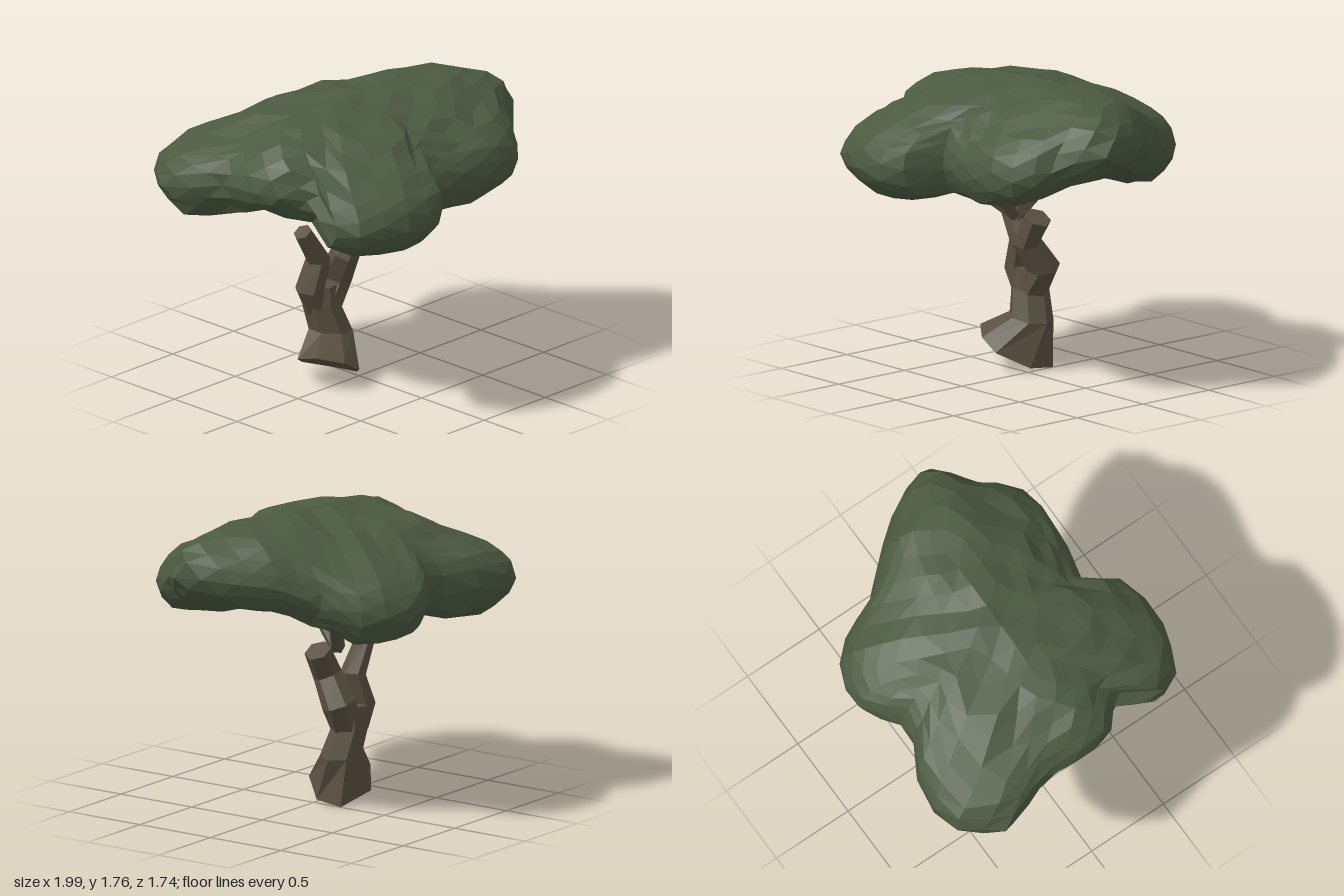
import * as THREE from 'three';

const leaf = new THREE.MeshStandardMaterial({ color: 0x4c5a42, flatShading: true });
leaf.name = 'leafGreen';
const bark = new THREE.MeshStandardMaterial({ color: 0x5a5142, flatShading: true });
bark.name = 'barkBrown';

// Skin a list of equally sized rings (lowest first) and cap both ends
function loft(name, rings) {
  const n = rings[0].length, out = [];
  const tri = (...pts) => pts.forEach((p) => out.push(p.x, p.y, p.z));
  const middle = (ring) => ring.reduce((s, p) => s.add(p), new THREE.Vector3()).divideScalar(n);
  const first = rings[0], last = rings[rings.length - 1];
  const c0 = middle(first), c1 = middle(last);
  for (let i = 0; i < n; i++) {
    const j = (i + 1) % n;
    for (let r = 0; r + 1 < rings.length; r++) {
      const a = rings[r], b = rings[r + 1];
      tri(a[i], b[i], a[j]);
      tri(a[j], b[i], b[j]);
    }
    tri(c0, first[i], first[j]);
    tri(c1, last[j], last[i]);
  }
  const g = new THREE.BufferGeometry();
  g.setAttribute('position', new THREE.Float32BufferAttribute(out, 3));
  g.computeVertexNormals();
  const mesh = new THREE.Mesh(g, bark);
  mesh.name = name;
  return mesh;
}

// Bent, tapering limb through [x, y, z, radius] stations
function limb(name, stations, sides) {
  const pts = stations.map((s) => new THREE.Vector3(s[0], s[1], s[2]));
  const rings = pts.map((p, k) => {
    const t = pts[Math.min(k + 1, pts.length - 1)].clone().sub(pts[Math.max(k - 1, 0)]).normalize();
    const u = new THREE.Vector3(1, 0, 0).addScaledVector(t, -t.x).normalize();
    const v = u.clone().cross(t);
    return Array.from({ length: sides }, (_, i) => {
      const a = (i / sides) * Math.PI * 2, r = stations[k][3];
      return p.clone().addScaledVector(u, r * Math.cos(a)).addScaledVector(v, r * Math.sin(a));
    });
  });
  return loft(name, rings);
}

// Flared, slanted foot rising into the trunk
function trunk() {
  const foot = [[0, 0.02, -0.02], [-0.13, 0.11, 0.13], [-0.25, 0.18, 0.13], [-0.38, 0.22, 0.03],
    [-0.37, 0.17, -0.13], [-0.2, 0.07, -0.26], [0, 0, -0.19]].map((p) => new THREE.Vector3(...p));
  const oval = (x, y, z, rx, rz, tilt) => foot.map((_, i) => {
    const a = (i / foot.length) * Math.PI * 2;
    return new THREE.Vector3(x + rx * Math.cos(a), y - tilt * Math.cos(a), z + rz * Math.sin(a));
  });
  return loft('trunk', [foot, oval(-0.11, 0.29, -0.12, 0.14, 0.12, 0.02),
    oval(-0.155, 0.45, -0.15, 0.118, 0.105, 0), oval(-0.15, 0.57, -0.15, 0.1, 0.09, 0)]);
}

// Canopy outline from above: [x, z, height of the widest point]
const outline = [
  [1, 0.18, 1.5], [0.99, 0.27, 1.49], [0.78, 0.45, 1.42], [0.72, 0.58, 1.36], [0.6, 0.68, 1.33],
  [0.28, 0.68, 1.3], [0, 0.62, 1.33], [-0.08, 0.63, 1.33], [-0.16, 0.83, 1.28], [-0.35, 0.88, 1.26],
  [-0.6, 0.84, 1.26], [-0.75, 0.78, 1.27], [-0.86, 0.6, 1.28], [-0.82, 0.48, 1.31], [-0.74, 0.4, 1.36],
  [-0.76, 0.32, 1.38], [-0.9, 0.2, 1.4], [-0.92, 0, 1.4], [-0.88, -0.25, 1.35], [-1, -0.6, 1.26],
  [-0.88, -0.8, 1.27], [-0.68, -0.88, 1.28], [-0.35, -0.8, 1.32], [-0.2, -0.68, 1.36], [0, -0.82, 1.31],
  [0.2, -0.88, 1.28], [0.4, -0.78, 1.28], [0.48, -0.7, 1.29], [0.55, -0.48, 1.36], [0.65, -0.35, 1.42],
  [0.8, -0.18, 1.47],
];
// Canopy section: [latitude, reach, height from the widest point, pull to the middle height]
const section = [
  [-1, 0, -0.2, 1], [-0.7, 0.4, -0.2, 0.5], [-0.45, 0.7, -0.2, 0], [-0.25, 0.88, -0.17, 0],
  [-0.1, 0.97, -0.08, 0], [0, 1, 0, 0], [0.12, 0.97, 0.1, 0], [0.25, 0.9, 0.17, 0],
  [0.4, 0.78, 0.22, 0.08], [0.65, 0.5, 0.25, 0.55], [1, 0, 0.25, 1],
];

// Linear lookup of a row in a table sorted by its first column
function lookup(table, t) {
  let i = 1;
  while (i < table.length - 1 && table[i][0] < t) i++;
  const a = table[i - 1], b = table[i];
  const f = THREE.MathUtils.clamp((t - a[0]) / (b[0] - a[0]), 0, 1);
  return a.map((v, k) => v + (b[k] - v) * f);
}

// Faceted ball reshaped to the lobed outline and section
function canopy() {
  const cx = -0.03, TAU = Math.PI * 2;
  const polar = outline.map(([x, z, y]) => [(Math.atan2(z, x - cx) + TAU) % TAU, Math.hypot(x - cx, z), y]);
  polar.sort((a, b) => a[0] - b[0]);
  const head = polar[0], tail = polar[polar.length - 1];
  const ring = [[tail[0] - TAU, tail[1], tail[2]], ...polar, [head[0] + TAU, head[1], head[2]]];
  const g = new THREE.IcosahedronGeometry(1, 6);
  const pos = g.attributes.position, v = new THREE.Vector3();
  for (let i = 0; i < pos.count; i++) {
    v.fromBufferAttribute(pos, i).normalize();
    // uneven facets
    const wob = Math.sin(13 * v.x + 5 * v.y) * Math.sin(11 * v.z - 7 * v.y + 1);
    const angle = (Math.atan2(v.z, v.x) + TAU) % TAU;
    const lat = Math.asin(THREE.MathUtils.clamp(v.y, -1, 1)) / (Math.PI / 2);
    const [, reach, edge] = lookup(ring, angle);
    const [, s, rise, pull] = lookup(section, lat);
    const r = reach * s * (1 + 0.05 * wob * (1 - s));
    const y = THREE.MathUtils.lerp(edge + rise, lat < 0 ? 1.2 : 1.75, pull) + 0.018 * wob;
    pos.setXYZ(i, cx + r * Math.cos(angle), y, r * Math.sin(angle));
  }
  g.deleteAttribute('uv');
  g.computeVertexNormals();
  const mesh = new THREE.Mesh(g, leaf);
  mesh.name = 'canopy';
  return mesh;
}

export function createModel() {
  const tree = new THREE.Group();
  tree.name = 'tree';
  tree.add(trunk(), canopy());
  // Two thick, sawn-off boughs
  tree.add(limb('leftBough', [[-0.12, 0.44, -0.14, 0.09], [-0.04, 0.59, -0.15, 0.1],
    [-0.065, 0.75, -0.05, 0.085], [0.03, 0.91, -0.05, 0.08]], 6));
  tree.add(limb('rightBough', [[-0.19, 0.44, -0.15, 0.08], [-0.25, 0.56, -0.15, 0.085],
    [-0.2, 0.74, -0.13, 0.075], [-0.33, 0.94, -0.13, 0.055]], 6));
  // Thin branches fanning into the leaves
  [[0.12, 1.26, -0.22], [-0.22, 1.28, 0.3], [-0.46, 1.24, 0.34]].forEach(([x, y, z], i) => {
    tree.add(limb('branch' + (i + 1), [[-0.16, 0.89, -0.05, 0.045], [x, y, z, 0.032]], 5));
  });
  return tree;
}
